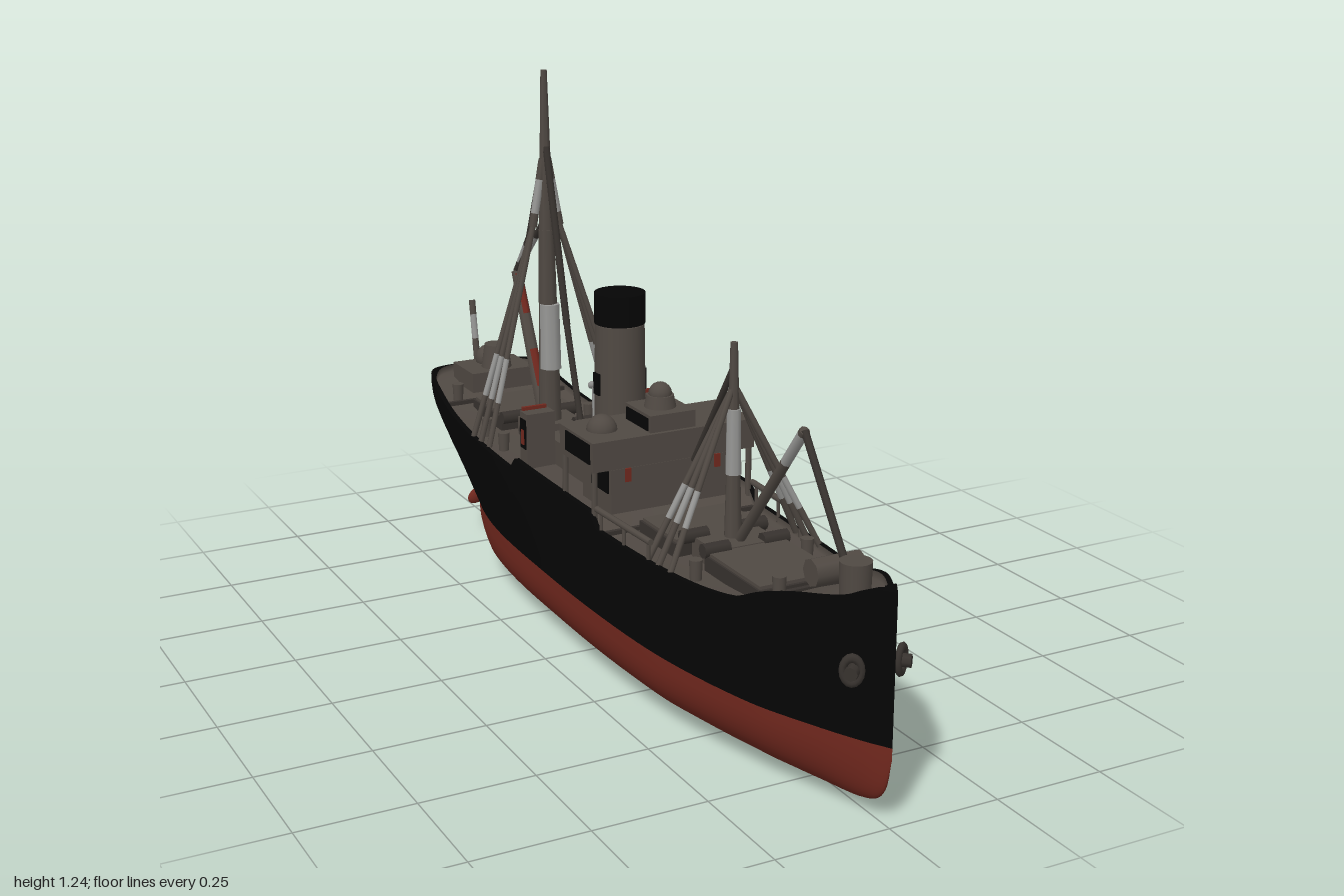
import * as THREE from 'three';

const mat = (name, color, side = THREE.FrontSide) => Object.assign(new THREE.MeshStandardMaterial({ color, side }), { name });

// Smooth curve through [z, value] pairs, sorted by z
function curve(pts) {
  const slope = (i) => {
    const a = pts[Math.max(i - 1, 0)], b = pts[Math.min(i + 1, pts.length - 1)];
    return (b[1] - a[1]) / (b[0] - a[0]);
  };
  return (z) => {
    let i = 0;
    while (i < pts.length - 2 && z > pts[i + 1][0]) i++;
    const [z0, v0] = pts[i], [z1, v1] = pts[i + 1], h = z1 - z0;
    const t = THREE.MathUtils.clamp((z - z0) / h, 0, 1), t2 = t * t, t3 = t2 * t;
    return (2 * t3 - 3 * t2 + 1) * v0 + (t3 - 2 * t2 + t) * h * slope(i)
      + (3 * t2 - 2 * t3) * v1 + (t3 - t2) * h * slope(i + 1);
  };
}

// Hull lines: rail half-width, waterline half-width, paint line, keel, rail height
const railHalf = curve([[-1, 0], [-0.99, 0.07], [-0.97, 0.105], [-0.92, 0.145], [-0.85, 0.165], [-0.6, 0.19],
  [-0.3, 0.203], [0.1, 0.203], [0.4, 0.19], [0.6, 0.165], [0.8, 0.11], [0.9, 0.06], [1, 0]]);
const waterHalf = curve([[-1, 0], [-0.94, 0], [-0.92, 0.006], [-0.85, 0.03], [-0.75, 0.08], [-0.6, 0.15], [-0.4, 0.19],
  [-0.1, 0.204], [0.2, 0.204], [0.45, 0.187], [0.7, 0.137], [0.85, 0.078], [0.95, 0.03], [1, 0]]);
const paintY = curve([[-1, 0.385], [-0.97, 0.31], [-0.93, 0.24], [-0.85, 0.195], [-0.7, 0.168], [-0.5, 0.165], [1, 0.165]]);
const keelY = curve([[-1, 0.385], [-0.97, 0.31], [-0.93, 0.24], [-0.88, 0.16], [-0.82, 0.05], [-0.7, 0.012],
  [0, 0.003], [0.5, 0.01], [0.85, 0.02], [0.94, 0.035], [0.98, 0.07], [1, 0.14]]);
const sheer = curve([[-1, 0.41], [-0.93, 0.42], [-0.85, 0.405], [-0.7, 0.375], [-0.5, 0.36], [0, 0.355], [0.4, 0.355],
  [0.65, 0.37], [0.72, 0.4], [0.8, 0.425], [0.9, 0.445], [0.95, 0.47], [1, 0.475]]);
const railY = (z) => sheer(z) + (z < 0.16 && z > -0.28 ? 0.032 : 0);
const deckY = (z) => railY(z) - 0.018;
const half = (z) => Math.max(railHalf(z), 0);
const capIn = (z) => Math.max(half(z) - 0.012 - 0.2 * Math.max(0, Math.abs(z) - 0.88), 0);

// Skin over cross-sections running from bow to stern
function loft(section, stations = 96) {
  const pos = [], idx = [];
  let n = 0;
  for (let i = 0; i <= stations; i++) {
    const z = Math.cos(Math.PI * i / stations), pts = section(z);
    n = pts.length;
    for (const [x, y] of pts) pos.push(x, y, z);
  }
  for (let i = 0; i < stations; i++) for (let j = 0; j < n - 1; j++) {
    const a = i * n + j, c = a + n;
    idx.push(a, a + 1, c, a + 1, c + 1, c);
  }
  const g = new THREE.BufferGeometry();
  g.setAttribute('position', new THREE.Float32BufferAttribute(pos, 3));
  g.setIndex(idx);
  g.computeVertexNormals();
  return g;
}
const mirrored = (section) => (z) => section(z).map(([x, y]) => [-x, y]).reverse();

export function createModel() {
  const root = new THREE.Group();
  root.name = 'steamship';
  const black = mat('hullBlack', 0x050505, THREE.DoubleSide);
  const red = mat('bottomRed', 0x71281e, THREE.DoubleSide);
  const grey = mat('deckGrey', 0x504943, THREE.DoubleSide);
  const dark = mat('fittingsDark', 0x37322e);
  const light = mat('paleGrey', 0x979795);

  const add = (name, geo, m, x = 0, y = 0, z = 0) => {
    const mesh = new THREE.Mesh(geo, m);
    mesh.name = name;
    mesh.position.set(x, y, z);
    root.add(mesh);
    return mesh;
  };
  const box = (name, m, w, h, d, x, y, z) => add(name, new THREE.BoxGeometry(w, h, d), m, x, y + h / 2, z);
  const drum = (name, m, r0, r1, h, x, y, z) => add(name, new THREE.CylinderGeometry(r1, r0, h, 24), m, x, y + h / 2, z);
  const ball = (name, m, r, x, y, z) => add(name, new THREE.SphereGeometry(r, 14, 10), m, x, y, z);
  const rod = (name, m, a, b, r0, r1 = r0) => {
    const p = new THREE.Vector3(...a), d = new THREE.Vector3(...b).sub(p);
    const mesh = add(name, new THREE.CylinderGeometry(r1, r0, d.length(), 8), m);
    mesh.position.copy(p).addScaledVector(d, 0.5);
    mesh.quaternion.setFromUnitVectors(new THREE.Vector3(0, 1, 0), d.normalize());
  };
  // Rope with a pale worn stretch between fractions t0 and t1
  const rope = (name, m, a, b, r, t0, t1) => {
    const at = (t) => a.map((v, i) => v + (b[i] - v) * t);
    rod(name, m, a, at(t0), r);
    rod(name + 'Worn', light, at(t0), at(t1), r);
    rod(name, m, at(t1), b, r);
  };

  // Red underwater body
  add('lowerHull', loft((z) => {
    const w = Math.max(waterHalf(z), 0), top = paintY(z), k = Math.min(keelY(z), top);
    const e = 0.72 + 0.5 * Math.max(0, z - 0.4) + 1.6 * Math.max(0, -z - 0.5);
    return Array.from({ length: 29 }, (_, j) => {
      const a = Math.PI / 2 * (1 - j / 14), s = Math.sin(a), c = Math.max(Math.cos(a), 0);
      return [w * Math.sign(s) * Math.abs(s) ** e, top - (top - k) * c ** e];
    });
  }), red);

  // Black topsides with the rail cap, then the deck and inside of the bulwarks
  const topside = (z) => {
    const w = half(z), w0 = Math.max(waterHalf(z), 0), y0 = paintY(z), y1 = railY(z);
    return Array.from({ length: 11 }, (_, j) => [w0 + (w - w0) * (1 - (j / 10) ** 2.4), y1 + (y0 - y1) * j / 10]);
  };
  const cap = (z) => [[capIn(z), railY(z)], [half(z), railY(z)]];
  for (const side of [(s) => s, mirrored]) {
    add('topside', loft(side(topside)), black);
    add('railCap', loft(side(cap)), black);
  }
  add('deck', loft((z) => {
    const w = capIn(z), y = deckY(z);
    return [[-w, railY(z)], [-w, y], [0, y + 0.004], [w, y], [w, railY(z)]];
  }), grey);

  // Rudder, screws and anchors
  const rudder = new THREE.Shape([[0.72, 0.005], [0.93, 0], [0.93, 0.21], [0.84, 0.21], [0.78, 0.1]]
    .map(([x, y]) => new THREE.Vector2(x, y)));
  add('rudder', new THREE.ExtrudeGeometry(rudder, { depth: 0.02, bevelEnabled: false }), red, -0.01).rotation.y = Math.PI / 2;
  rod('rudderHeel', red, [0, 0.012, -0.7], [0, 0.014, -0.93], 0.006, 0.014);
  for (const s of [-1, 1]) {
    rod('propellerShaft', red, [s * 0.05, 0.12, -0.64], [s * 0.05, 0.12, -0.82], 0.028, 0.016);
    for (let i = 0; i < 3; i++) {
      const blade = ball('propellerBlade', i ? red : dark, 0.028, s * 0.05, 0.12, -0.805);
      blade.scale.set(0.7, 1, 0.4);
      blade.rotation.z = i * Math.PI * 2 / 3;
      blade.translateY(0.026);
    }
    const anchor = add('anchor', new THREE.TorusGeometry(0.018, 0.007, 8, 16), dark, s * 0.055, 0.31, 0.94);
    anchor.rotation.y = s * 0.6;
    anchor.scale.y = 1.4;
    rod('anchorStock', dark, [s * 0.04, 0.31, 0.93], [s * 0.068, 0.31, 0.955], 0.014);
  }

  // Cargo hatches: [half width, z centre, length], and dark seams across the deck
  for (const [w, z, d] of [[0.095, 0.56, 0.22], [0.11, 0.27, 0.16], [0.1, -0.37, 0.13], [0.1, -0.66, 0.18]]) {
    box('hatchCoaming', dark, w * 2, 0.033, d, 0, deckY(z), z);
    box('hatchCover', grey, w * 1.9, 0.01, d * 0.94, 0, deckY(z) + 0.03, z);
  }
  for (const z of [0.73, 0.165, -0.285, -0.77]) box('deckSeam', dark, railHalf(z) * 1.85, 0.01, 0.01, 0, deckY(z), z);

  // Mast houses, stern house, windlass, bollards and winches
  box('mastHouse', grey, 0.15, 0.045, 0.1, 0, 0.34, 0.41);
  box('aftMastHouse', grey, 0.13, 0.05, 0.1, 0, 0.34, -0.5);
  box('sternHouse', grey, 0.17, 0.05, 0.13, 0, 0.39, -0.85);
  drum('sternDrum', grey, 0.04, 0.03, 0.07, 0, 0.43, -0.83);
  ball('sternHood', grey, 0.035, 0, 0.45, -0.88);
  rod('windlass', grey, [-0.055, 0.45, 0.79], [0.055, 0.45, 0.79], 0.028);
  drum('capstan', grey, 0.03, 0.032, 0.07, 0, 0.42, 0.86);
  for (const s of [-1, 1]) {
    for (const z of [0.74, 0.48, -0.46, -0.57, -0.79])
      drum('bollard', grey, 0.012, 0.014, 0.045, s * railHalf(z) * 0.72, deckY(z), z);
    for (const z of [0.45, 0.36, -0.45, -0.57]) rod('cargoWinch', dark, [s * 0.04, 0.385, z], [s * 0.1, 0.385, z], 0.016);
  }

  // Bridge: lower house, full-width upper deck with dark end windows, small top house
  box('bridgeHouse', grey, 0.3, 0.1, 0.14, 0, 0.37, 0.065);
  box('bridgeDeck', grey, 0.396, 0.066, 0.165, 0, 0.474, 0.062);
  box('topHouse', grey, 0.11, 0.038, 0.12, 0, 0.54, 0.075);
  drum('roofCompass', grey, 0.036, 0.03, 0.03, 0, 0.575, 0.075);
  ball('compassDome', grey, 0.026, 0, 0.607, 0.075);
  ball('wingLamp', grey, 0.034, -0.135, 0.54, 0.06);
  for (const s of [-1, 1]) {
    box('endWindow', black, 0.006, 0.044, 0.12, s * 0.198, 0.49, 0.072);
    box('topHouseWindow', black, 0.006, 0.028, 0.1, s * 0.055, 0.543, 0.075);
    box('houseDoor', black, 0.006, 0.05, 0.08, s * 0.151, 0.415, 0.085);
    box('houseMark', red, 0.014, 0.03, 0.006, s * 0.11, 0.44, 0.136);
    for (const z of [0.135, -0.01]) rod('wingPost', grey, [s * 0.19, 0.36, z], [s * 0.19, 0.48, z], 0.007);
  }

  // Engine casing, funnel, ventilators and side rails
  box('engineCasing', grey, 0.23, 0.06, 0.24, 0, 0.37, -0.145);
  box('engineSkylight', grey, 0.1, 0.03, 0.06, 0, 0.43, -0.225);
  drum('funnel', grey, 0.06, 0.056, 0.31, 0, 0.41, -0.12);
  drum('funnelTop', black, 0.058, 0.058, 0.07, 0, 0.722, -0.12);
  rod('steamPipe', grey, [0, 0.4, -0.187], [0, 0.7, -0.182], 0.008);
  for (const s of [-1, 1]) {
    box('funnelHatch', black, 0.006, 0.05, 0.026, s * 0.058, 0.56, -0.12);
    box('ventilator', grey, 0.07, 0.13, 0.04, s * 0.15, 0.37, -0.245);
    box('ventilatorOpening', black, 0.006, 0.07, 0.03, s * 0.184, 0.415, -0.245);
    box('ventilatorMark', red, 0.006, 0.035, 0.014, s * 0.186, 0.425, -0.245);
    box('ventilatorRail', red, 0.06, 0.008, 0.008, s * 0.15, 0.5, -0.263);
    for (const z of [0.37, 0.27, 0.17])
      rod('railPost', grey, [s * (railHalf(z) - 0.01), 0.34, z], [s * (railHalf(z) - 0.01), 0.395, z], 0.004);
    rod('sideRail', grey, [s * 0.182, 0.395, 0.38], [s * 0.192, 0.395, 0.15], 0.007);
  }
  rod('lampPost', light, [0, 0.43, -0.25], [0, 0.54, -0.25], 0.007);
  rod('lampArm', light, [0, 0.535, -0.27], [0, 0.55, -0.22], 0.009);

  // Foremast with its boom and rigging
  rod('foremast', grey, [0, 0.34, 0.4], [0, 0.8, 0.395], 0.02, 0.008);
  rod('foremastBand', light, [0, 0.52, 0.398], [0, 0.66, 0.397], 0.017, 0.015);
  rope('foreBoom', grey, [0, 0.39, 0.43], [0, 0.69, 0.67], 0.011, 0.72, 0.97);
  rod('foreBoomGuy', dark, [0, 0.69, 0.67], [0, 0.45, 0.84], 0.008);
  rod('foreBackstay', dark, [0, 0.74, 0.39], [0, 0.5, 0.23], 0.007);

  // Mainmast with its boom and rigging; the boom is red on its forward face
  rod('mainmast', grey, [0, 0.34, -0.5], [0, 0.86, -0.51], 0.03, 0.02);
  rod('topmast', grey, [0, 0.85, -0.51], [0, 1.24, -0.513], 0.019, 0.008);
  rod('mainmastBand', light, [0, 0.52, -0.494], [0, 0.68, -0.497], 0.027, 0.025);
  rod('mainBoom', grey, [0, 0.4, -0.54], [0, 0.72, -0.69], 0.018, 0.014);
  rod('boomLowerPaint', red, [0, 0.442, -0.556], [0, 0.54, -0.602], 0.014);
  rod('boomUpperPaint', red, [0, 0.622, -0.64], [0, 0.715, -0.684], 0.012);
  rod('boomLift', dark, [0, 1.05, -0.515], [0, 0.82, -0.61], 0.009);
  rope('boomLiftLower', dark, [0, 0.82, -0.61], [0, 0.72, -0.69], 0.009, 0.2, 0.7);
  rope('boomTopping', dark, [0, 0.88, -0.52], [0, 0.72, -0.69], 0.008, 0.3, 0.65);
  rod('mainStay', dark, [0, 1.06, -0.505], [0, 0.65, -0.4], 0.009);
  rod('mainStay', dark, [0, 0.65, -0.4], [0, 0.37, -0.31], 0.008);

  // Shrouds fan out to the rails on both sides
  for (const s of [-1, 1]) {
    for (const dz of [-0.04, 0.005, 0.055]) {
      rope('foreShroud', grey, [s * 0.006, 0.7, 0.397], [s * 0.178, 0.35, 0.4 + dz], 0.007, 0.55, 0.75);
      rope('mainShroud', grey, [s * 0.035, 0.87, -0.51], [s * 0.187, 0.36, -0.5 + dz], 0.007, 0.6, 0.8);
    }
    rope('topShroud', grey, [s * 0.006, 1.03, -0.512], [s * 0.035, 0.87, -0.51], 0.01, 0.3, 0.8);
  }
  rope('flagstaff', grey, [0, 0.4, -0.955], [0, 0.58, -0.985], 0.009, 0.45, 0.8);
  return root;
}
